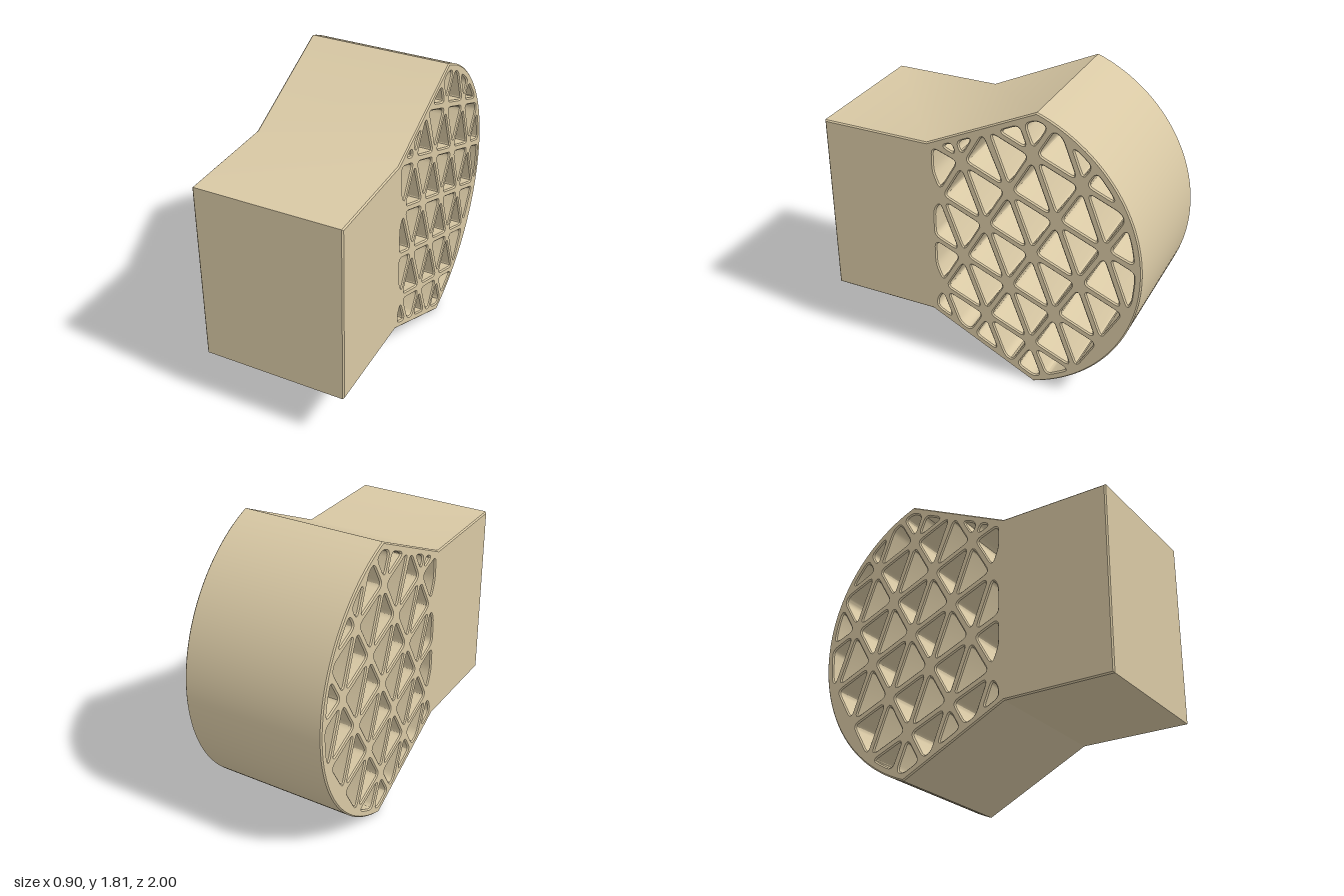
import * as THREE from 'three';
import { toCreasedNormals } from 'three/addons/utils/BufferGeometryUtils.js';

const V = (x, y) => new THREE.Vector2(x, y);
const WIDTH = 0.9, BEVEL = 0.008;
const STRUT = 0.022, RIM = 0.045; // half strut width, rim thickness

// Side profile, drawn with x pointing to the back.
function arcPoints(count) {
  const pts = [], half = 1.231;
  for (let i = 0; i <= count; i++) {
    const t = -half + (2 * half * i) / count;
    pts.push(V(0.04 + 0.96 * Math.cos(t), 0.905 + 0.96 * Math.sin(t)));
  }
  return pts;
}

// Keeps the part of a polygon lying at least d to the left of the line p-q.
function clip(poly, p, q, d) {
  const n = V(p.y - q.y, q.x - p.x).normalize();
  const dist = (v) => v.clone().sub(p).dot(n) - d;
  const out = [];
  poly.forEach((v, i) => {
    const w = poly[(i + 1) % poly.length];
    const dv = dist(v), dw = dist(w);
    if (dv >= 0) out.push(v);
    if (dv * dw < 0) out.push(v.clone().lerp(w, dv / (dv - dw)));
  });
  return out;
}

const clipAll = (poly, edges, d) =>
  edges.reduce((acc, p, i) => clip(acc, p, edges[(i + 1) % edges.length], d), poly);

// Closed path with rounded corners.
function roundedPath(poly, radius) {
  const path = new THREE.Path();
  const n = poly.length;
  poly.forEach((v, i) => {
    const toward = (w) => v.clone().lerp(w, Math.min(0.42, radius / v.distanceTo(w)));
    const a = toward(poly[(i + n - 1) % n]);
    const b = toward(poly[(i + 1) % n]);
    if (i === 0) path.moveTo(a.x, a.y);
    else path.lineTo(a.x, a.y);
    path.quadraticCurveTo(v.x, v.y, b.x, b.y);
  });
  path.closePath();
  return path;
}

// Triangular lattice of openings, trimmed to the inside of the rim.
function latticeHoles() {
  const region = [V(-0.325, 0.338), ...arcPoints(20), V(-0.325, 1.487)];
  const origin = V(0.34, 0.92), a = V(0.292, -0.12), b = V(0.146, -0.376);
  const node = (i, j) => origin.clone().addScaledVector(a, i).addScaledVector(b, j);
  const holes = [];
  for (let i = -7; i <= 7; i++) {
    for (let j = -6; j <= 6; j++) {
      const pair = [
        [node(i, j), node(i, j + 1), node(i + 1, j)],
        [node(i, j + 1), node(i + 1, j + 1), node(i + 1, j)],
      ];
      for (const tri of pair) {
        let poly = clipAll(tri, tri, STRUT);
        poly = clipAll(poly, region, RIM);
        poly = poly.filter((v, k) => v.distanceTo(poly[(k + 1) % poly.length]) > 0.012);
        if (poly.length < 3 || THREE.ShapeUtils.area(poly) < 0.0018) continue;
        holes.push(roundedPath(poly, 0.035));
      }
    }
  }
  return holes;
}

export function createModel() {
  const group = new THREE.Group();
  group.name = 'latticeBackedBlock';

  // Solid front block flaring into the curved, perforated back
  const shape = new THREE.Shape([
    V(-1, 0.338), V(-0.32, 0.338), ...arcPoints(64), V(-0.32, 1.487), V(-1, 1.487),
  ]);
  shape.holes = latticeHoles();

  let geometry = new THREE.ExtrudeGeometry(shape, {
    depth: WIDTH - 2 * BEVEL,
    curveSegments: 4,
    bevelEnabled: true,
    bevelThickness: BEVEL,
    bevelSize: BEVEL,
    bevelOffset: -BEVEL,
    bevelSegments: 1,
  });
  geometry.translate(0, 0, BEVEL - WIDTH / 2);
  geometry.rotateY(Math.PI / 2);
  geometry = toCreasedNormals(geometry, 0.45);

  const body = new THREE.Mesh(geometry, new THREE.MeshStandardMaterial({ color: 0xd8c8a4 }));
  body.name = 'blockAndLatticeBody';
  group.add(body);
  return group;
}
